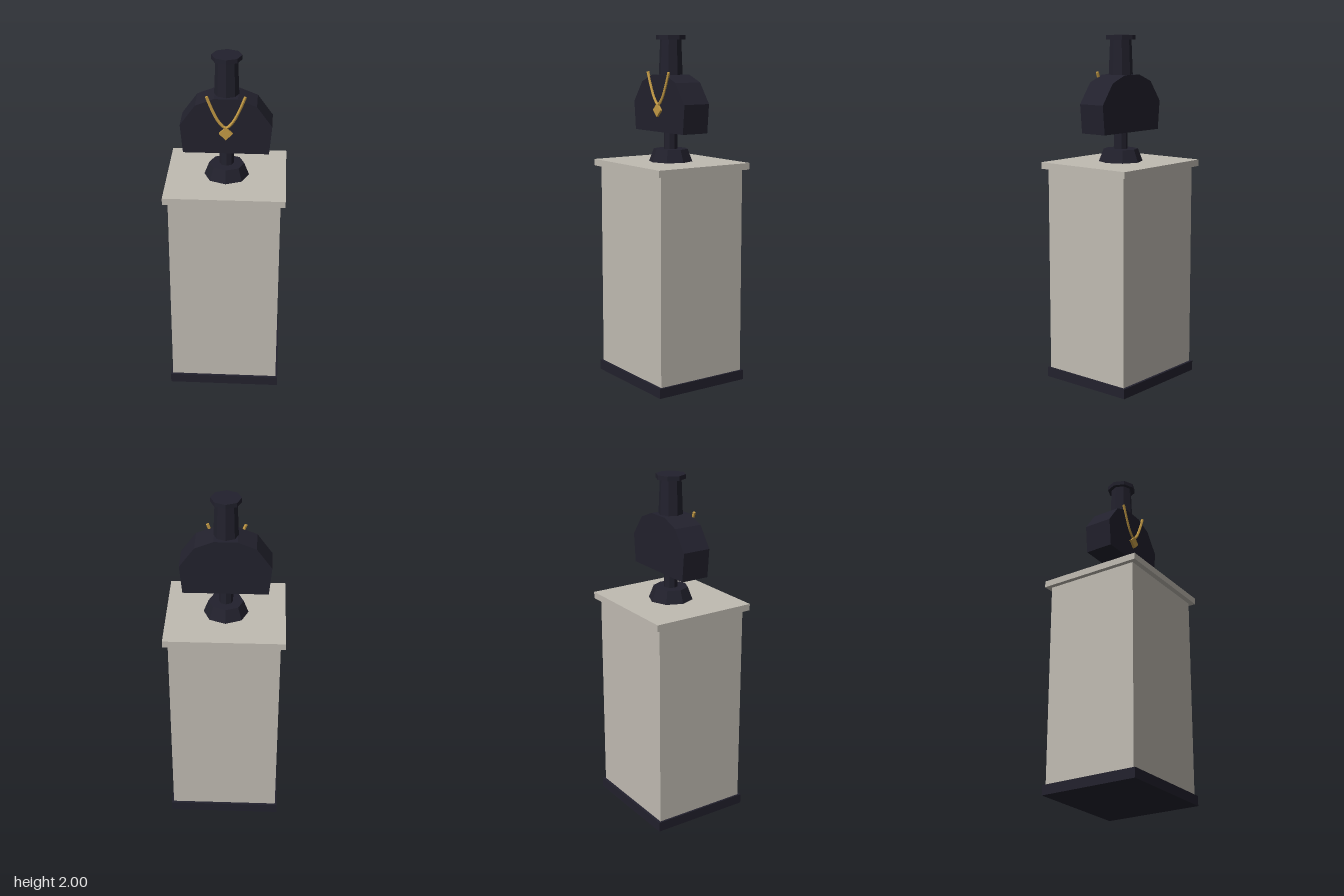
import * as THREE from 'three';

export function createModel() {
  const model = new THREE.Group();
  model.name = 'necklaceDisplay';

  const material = (name, color, flat) => {
    const m = new THREE.MeshStandardMaterial({ color, flatShading: flat });
    m.name = name;
    return m;
  };
  const stone = material('warm grey stone', 0xc0bbb2, true);
  const dark = material('dark velvet', 0x22212d, true);
  const gold = material('gold', 0xc39a45, true);

  const add = (name, geometry, mat, x = 0, y = 0, z = 0) => {
    const mesh = new THREE.Mesh(geometry, mat);
    mesh.name = name;
    mesh.position.set(x, y, z);
    model.add(mesh);
    return mesh;
  };
  // Box and octagonal column given by their bottom and top heights
  const slab = (name, mat, w, d, y0, y1) =>
    add(name, new THREE.BoxGeometry(w, y1 - y0, d), mat, 0, (y0 + y1) / 2);
  const column = (name, rTop, rBottom, y0, y1) =>
    add(name, new THREE.CylinderGeometry(rTop, rBottom, y1 - y0, 8), dark, 0, (y0 + y1) / 2);

  // Plinth
  slab('plinthBase', dark, 0.643, 0.59, 0, 0.057);
  slab('plinthColumn', stone, 0.62, 0.56, 0.057, 1.245);
  slab('plinthTop', stone, 0.674, 0.62, 1.245, 1.283);

  // Stand under the bust
  column('foot', 0.099, 0.127, 1.283, 1.355);
  column('stem', 0.04, 0.04, 1.355, 1.47);

  // Bust: angular shoulder outline, extruded front to back
  const half = [[0.238, 1.455], [0.253, 1.62], [0.168, 1.737], [0.065, 1.778]];
  const outline = [...half, ...half.slice().reverse().map(([x, y]) => [-x, y])];
  const bust = new THREE.ExtrudeGeometry(
    new THREE.Shape(outline.map(([x, y]) => new THREE.Vector2(x, y))),
    { depth: 0.168, bevelEnabled: false });
  add('bust', bust, dark, 0, 0, -0.084);

  // Neck
  column('neck', 0.061, 0.07, 1.75, 1.975);
  column('neckCap', 0.084, 0.084, 1.975, 2);

  // Necklace chain hanging over the front
  const side = [[0.105, 1.793], [0.074, 1.715], [0.038, 1.645]];
  const path = [...side.map(([x, y]) => [-x, y]), [0, 1.61], ...side.slice().reverse()];
  const curve = new THREE.CatmullRomCurve3(path.map(([x, y]) => new THREE.Vector3(x, y, 0.086)));
  add('chain', new THREE.TubeGeometry(curve, 24, 0.009, 6), gold);

  // Chain ends, closed with small discs
  [0, 1].forEach((t) => {
    const cap = add('chainEnd', new THREE.CircleGeometry(0.009, 6), gold);
    const end = curve.getPoint(t);
    cap.position.copy(end);
    cap.lookAt(end.clone().addScaledVector(curve.getTangent(t), t ? 1 : -1));
  });

  // Diamond-shaped pendant
  const pendant = add('pendant', new THREE.BoxGeometry(0.054, 0.054, 0.016), gold, 0, 1.579, 0.09);
  pendant.rotation.z = Math.PI / 4;

  return model;
}
